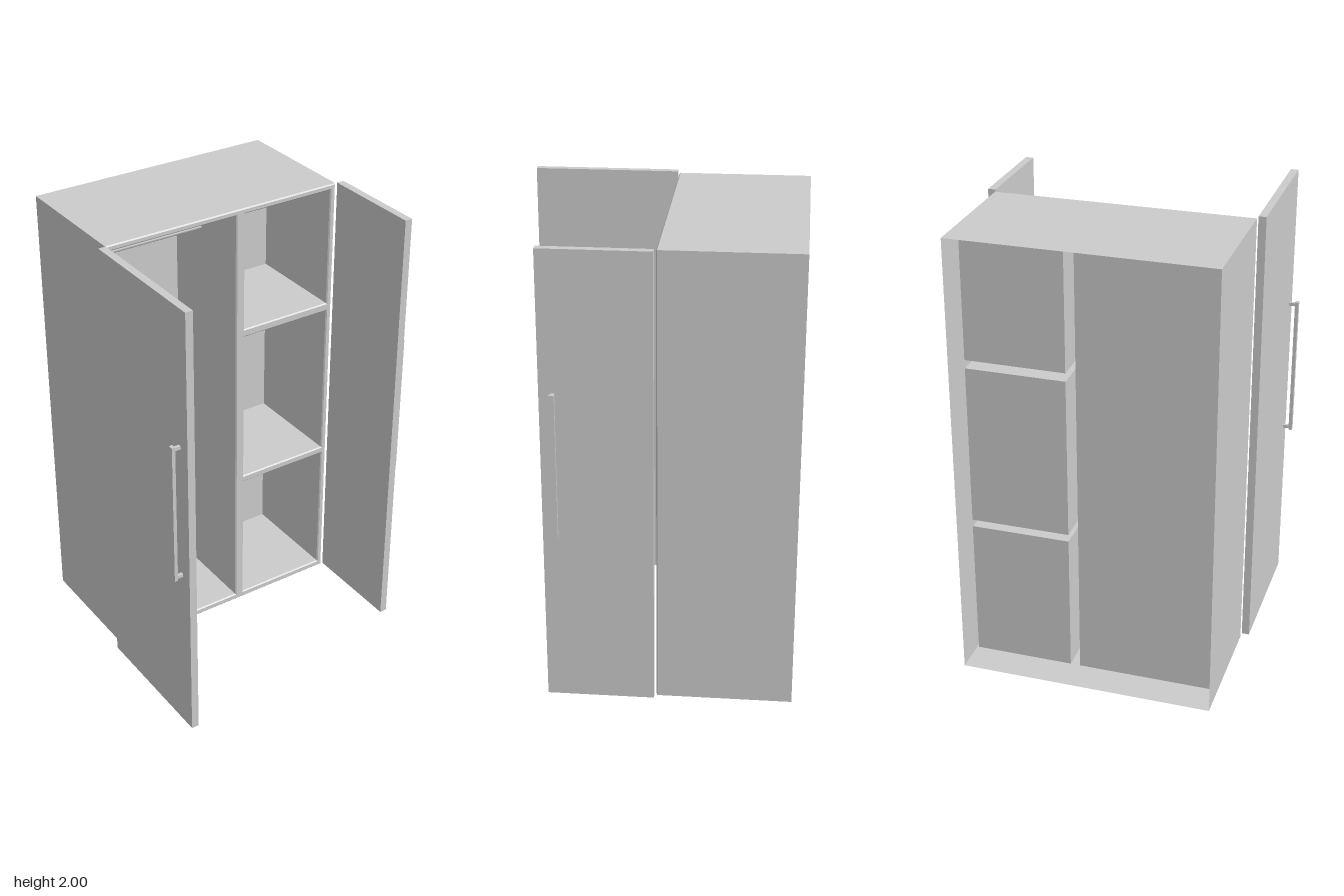
import * as THREE from 'three';

const solid = new THREE.MeshStandardMaterial({ color: 0xcccccc, flatShading: true });
const sheet = new THREE.MeshStandardMaterial({ color: 0xcccccc, flatShading: true, side: THREE.DoubleSide });

const FRONT = -0.032, BACK = -0.61, INNER_BACK = -0.5, BEVEL = 0.005;

// Openings in the front: [left, right, bottom, top]
const OUTER = [-0.555, 0.555, 0, 1.995];
const OPENINGS = {
  hangingCompartment: [-0.53, 0.055, 0.03, 1.97],
  lowerCompartment: [0.098, 0.53, 0.03, 0.654],
  middleCompartment: [0.098, 0.53, 0.686, 1.398],
  upperCompartment: [0.098, 0.53, 1.435, 1.97],
};

const grow = ([l, r, b, t], d) => [l - d, r + d, b - d, t + d];
const corners = ([l, r, b, t]) => [[l, b], [r, b], [r, t], [l, t]];

function named(name, geometry, material) {
  const mesh = new THREE.Mesh(geometry, material);
  mesh.name = name;
  return mesh;
}

// Skin joining rectangles at successive depths, listed front to back or back to front
function rectLoft(rings, capLast) {
  const pos = [], index = [];
  rings.forEach(({ rect, z }) => corners(rect).forEach(([x, y]) => pos.push(x, y, z)));
  for (let i = 0; i < rings.length - 1; i++) {
    for (let k = 0; k < 4; k++) {
      const a = i * 4 + k, b = i * 4 + (k + 1) % 4;
      index.push(a, b, b + 4, a, b + 4, a + 4);
    }
  }
  if (capLast) {
    const n = (rings.length - 1) * 4;
    index.push(n, n + 1, n + 2, n, n + 2, n + 3);
  }
  const g = new THREE.BufferGeometry();
  g.setAttribute('position', new THREE.Float32BufferAttribute(pos, 3));
  g.setIndex(index);
  const flat = g.toNonIndexed();
  flat.computeVertexNormals();
  return flat;
}

function box(name, x0, x1, y0, y1, z0, z1) {
  const mesh = named(name, new THREE.BoxGeometry(x1 - x0, y1 - y0, z1 - z0), solid);
  mesh.position.set((x0 + x1) / 2, (y0 + y1) / 2, (z0 + z1) / 2);
  return mesh;
}

// Open door with its bar handle; side is +1 or -1
function makeDoor(name, side, depthEnd, handleZ) {
  const door = new THREE.Group();
  door.name = name;
  const part = (n, a, b, ...rest) => door.add(box(n, Math.min(a * side, b * side), Math.max(a * side, b * side), ...rest));
  part('doorPanel', 0.558, 0.591, 0.01, 2, -0.025, depthEnd);
  part('handleBar', 0.618, 0.633, 0.78, 1.413, handleZ - 0.011, handleZ + 0.011);
  for (const y of [0.792, 1.4]) {
    part('handleStem', 0.591, 0.618, y - 0.007, y + 0.007, handleZ - 0.007, handleZ + 0.007);
  }
  return door;
}

export function createModel() {
  const model = new THREE.Group();
  model.name = 'wardrobe';

  // Outer shell, open at the back, with a bevelled front rim
  model.add(named('outerShell', rectLoft([
    { rect: OUTER, z: BACK },
    { rect: OUTER, z: FRONT - BEVEL },
    { rect: grow(OUTER, -BEVEL), z: FRONT },
  ]), sheet));

  // Front frame pierced by the compartments
  const toPoints = (rect) => corners(rect).map(([x, y]) => new THREE.Vector2(x, y));
  const face = new THREE.Shape(toPoints(grow(OUTER, -BEVEL)));
  for (const rect of Object.values(OPENINGS)) {
    face.holes.push(new THREE.Path(toPoints(grow(rect, BEVEL)).reverse()));
  }
  const frame = named('frontFrame', new THREE.ShapeGeometry(face), sheet);
  frame.position.z = FRONT;
  model.add(frame);

  // Recessed compartments
  for (const [name, rect] of Object.entries(OPENINGS)) {
    model.add(named(name, rectLoft([
      { rect: grow(rect, BEVEL), z: FRONT },
      { rect, z: FRONT - BEVEL },
      { rect, z: INNER_BACK },
    ], true), sheet));
  }

  // Rail across the hanging compartment
  const [l, r] = OPENINGS.hangingCompartment;
  const rail = named('hangingRail', new THREE.CylinderGeometry(0.012, 0.012, r - l, 12), solid);
  rail.rotation.z = Math.PI / 2;
  rail.position.set((l + r) / 2, 1.82, -0.31);
  model.add(rail);

  // Doors swung fully open
  model.add(makeDoor('rightDoor', -1, 0.605, 0.55));
  model.add(makeDoor('leftDoor', 1, 0.43, 0.373));
  return model;
}
